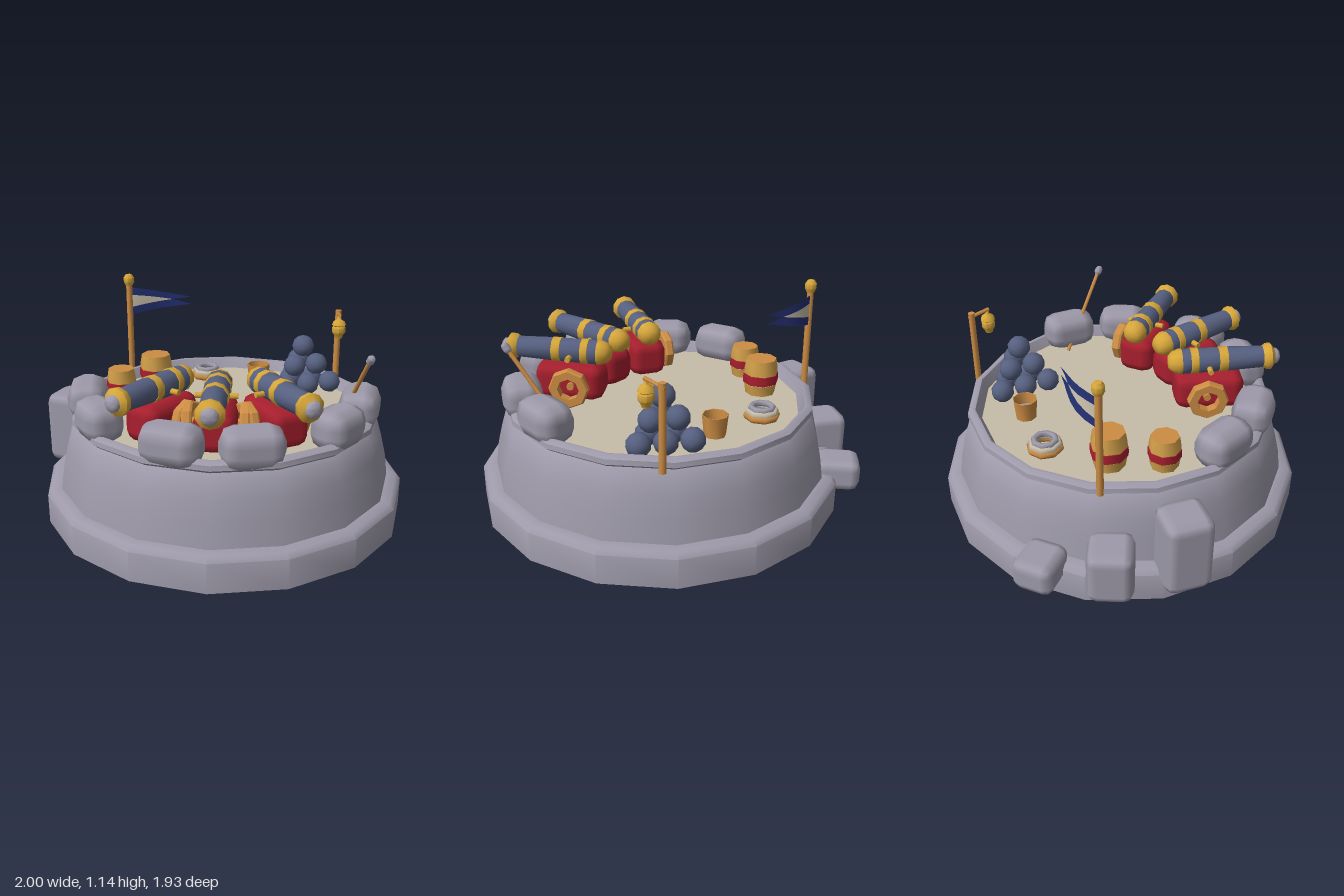
import * as THREE from 'three';
import { toCreasedNormals } from 'three/addons/utils/BufferGeometryUtils.js';
import { RoundedBoxGeometry } from 'three/addons/geometries/RoundedBoxGeometry.js';

const mat = (name, color, side = THREE.FrontSide) => {
  const m = new THREE.MeshStandardMaterial({ color, side });
  m.name = name;
  return m;
};
const stone = mat('stone', 0x9e9aaa, THREE.DoubleSide);
const sand = mat('sand', 0xc6bca8, THREE.DoubleSide);
const iron = mat('iron', 0x566080);
const brass = mat('brass', 0xd6a63a);
const red = mat('red', 0xa81f2e);
const wood = mat('wood', 0xcd8d44);
const stave = mat('stave', 0xd3a04a);
const navy = mat('navy', 0x232f70, THREE.DoubleSide);

const CX = 0.035, FLOOR = 0.522;

function add(parent, name, geo, material, x = 0, y = 0, z = 0) {
  const mesh = new THREE.Mesh(geo, material);
  mesh.name = name;
  mesh.position.set(x, y, z);
  parent.add(mesh);
  return mesh;
}
function lathe(points, sides, crease = 0.85) {
  return toCreasedNormals(new THREE.LatheGeometry(points.map(p => new THREE.Vector2(...p)), sides), crease);
}
// Rod between two points
function rod(parent, name, a, b, r, material, sides = 8) {
  const from = new THREE.Vector3(...a), dir = new THREE.Vector3(...b).sub(from);
  const mesh = add(parent, name, new THREE.CylinderGeometry(r, r, dir.length(), sides), material);
  mesh.position.copy(from).addScaledVector(dir, 0.5);
  mesh.quaternion.setFromUnitVectors(new THREE.Vector3(0, 1, 0), dir.normalize());
  return mesh;
}

function buildTower(root) {
  const profile = [[0.965, 0], [0.965, 0.155], [0.94, 0.18], [0.89, 0.183], [0.873, 0.3],
    [0.848, 0.4], [0.818, 0.5], [0.795, 0.522], [0.818, 0.54], [0.814, 0.565], [0.79, 0.58], [0.775, 0.578], [0.745, FLOOR]];
  add(root, 'towerWall', lathe(profile, 16, 0.8), stone, CX);
  add(root, 'floor', new THREE.CircleGeometry(0.747, 16).rotateX(-Math.PI / 2), sand, CX, FLOOR);

  // Parapet stones, mirrored about the tower axis
  for (const s of [-1, 1]) {
    for (const [x, z, w] of [[0.185, 0.70, 0.31], [0.585, 0.43, 0.28], [0.71, 0.12, 0.3]]) {
      const m = add(root, 'parapetStone', new RoundedBoxGeometry(w, 0.205, 0.205, 1, 0.08), stone, CX + s * x, 0.62, z);
      m.rotation.y = Math.atan2(s * x, z);
    }
  }
  // Stones set into the wall
  for (const [x, y, z, h, w] of [[-0.87, 0.303, -0.27, 0.41, 0.24], [-0.715, 0.215, -0.575, 0.28, 0.225], [-0.475, 0.165, -0.82, 0.17, 0.215]]) {
    const m = add(root, 'wallStone', new RoundedBoxGeometry(w, h, 0.23, 1, 0.05), stone, x, y, z);
    m.rotation.y = Math.atan2(x - CX, z);
  }
}

function buildCannon(root, x, z, yaw) {
  const g = new THREE.Group();
  g.name = 'cannon';
  g.position.set(x, 0, z);
  g.rotation.y = yaw;
  root.add(g);

  // Barrel pieces: [distance across, distance from the rear]
  const barrel = new THREE.Group();
  barrel.name = 'cannonBarrel';
  barrel.position.y = 0.782;
  barrel.rotation.x = -0.025;
  g.add(barrel);
  const pieces = [
    ['breechCap', brass, [[0, 0], [0.035, 0.004], [0.055, 0.025], [0.067, 0.055], [0.067, 0.075]]],
    ['breech', iron, [[0.067, 0.075], [0.066, 0.12]]],
    ['rearBand', brass, [[0.066, 0.12], [0.069, 0.122], [0.069, 0.16], [0.064, 0.162]]],
    ['barrelMiddle', iron, [[0.066, 0.16], [0.064, 0.27]]],
    ['frontBand', brass, [[0.062, 0.268], [0.067, 0.27], [0.067, 0.315], [0.06, 0.317]]],
    ['barrelFront', iron, [[0.064, 0.315], [0.057, 0.505]]],
    ['muzzleRing', brass, [[0.055, 0.5], [0.069, 0.52], [0.071, 0.545], [0.043, 0.565]]],
    ['muzzleFace', stone, [[0.044, 0.56], [0.04, 0.58], [0.025, 0.592], [0, 0.595]]],
  ];
  for (const [name, material, pts] of pieces) add(barrel, name, lathe(pts, 10).rotateX(Math.PI / 2), material);

  add(g, 'carriage', new RoundedBoxGeometry(0.205, 0.2, 0.37, 1, 0.06), red, 0, 0.63, 0.22);
  rod(g, 'trunnion', [-0.105, 0.768, 0.215], [0.105, 0.768, 0.215], 0.015, brass);
  rod(g, 'axle', [-0.125, 0.628, 0.2], [0.125, 0.628, 0.2], 0.02, wood);
  // Wheels: octagonal rims
  const rim = lathe([[0.058, -0.025], [0.1, -0.025], [0.108, -0.015], [0.108, 0.015], [0.1, 0.025], [0.058, 0.025], [0.058, -0.025]], 8, 0.5)
    .rotateZ(Math.PI / 2);
  for (const s of [-1, 1]) add(g, 'wheel', rim, wood, s * 0.14, 0.628, 0.2);
}

function buildBarrel(root, x, z, r, h) {
  const g = new THREE.Group();
  g.name = 'storageBarrel';
  g.position.set(x, FLOOR, z);
  root.add(g);
  add(g, 'lowerStaves', lathe([[0, 0], [0.85 * r, 0], [0.95 * r, 0.3 * h]], 8), stave);
  add(g, 'hoop', lathe([[0.95 * r, 0.31 * h], [r, 0.32 * h], [1.02 * r, 0.45 * h], [r, 0.58 * h], [0.95 * r, 0.59 * h]], 8), red);
  add(g, 'upperStaves', lathe([[0.97 * r, 0.58 * h], [0.95 * r, 0.75 * h], [0.86 * r, h]], 8), stave);
  add(g, 'lid', lathe([[0.86 * r, h], [0, h]], 8), wood);
}

// Pyramid of ten balls on a triangular base
function buildBalls(root) {
  const ball = new THREE.IcosahedronGeometry(0.062, 1);
  const corners = [[0.405, -0.515], [0.61, -0.355], [0.365, -0.255]].map(([x, z]) => new THREE.Vector3(x, 0.582, z));
  const basis = [...corners, new THREE.Vector3(0.455, 0.785, -0.372)];
  for (let a = 0; a <= 2; a++) for (let b = 0; a + b <= 2; b++) for (let c = 0; a + b + c <= 2; c++) {
    const p = new THREE.Vector3();
    [a, b, c, 2 - a - b - c].forEach((w, i) => p.addScaledVector(basis[i], w / 2));
    add(root, 'cannonball', ball, iron, p.x, p.y, p.z);
  }
}

// Cloth strip between an upper and a lower edge, given as rows of [x, upper, lower]
function strip(rows) {
  const wave = (x, y) => {
    const t = (x + 0.55) / 0.35;
    const lean = (y - 0.985) * 0.9 * t * (1 - t);
    return -0.538 - 0.016 * Math.sin(t * 4.2) + 0.027 * t * t + lean;
  };
  const pos = [], idx = [];
  rows.forEach(([x, hi, lo], i) => {
    pos.push(x, hi, wave(x, hi), x, lo, wave(x, lo));
    if (i) idx.push(2 * i - 2, 2 * i - 1, 2 * i, 2 * i, 2 * i - 1, 2 * i + 1);
  });
  const geo = new THREE.BufferGeometry();
  geo.setAttribute('position', new THREE.Float32BufferAttribute(pos, 3));
  geo.setIndex(idx);
  geo.computeVertexNormals();
  return geo;
}

function buildFlag(root) {
  const x0 = -0.55, notch = -0.31, tip = -0.2, midY = 1.003, lerp = THREE.MathUtils.lerp;
  const upper = [], middle = [], lower = [];
  for (let i = 0; i <= 6; i++) {
    const x = i < 5 ? lerp(x0, notch, i / 4) : lerp(notch, tip, (i - 4) / 2);
    const t = (x - x0) / (tip - x0), u = Math.min(1, i / 4), v = Math.max(0, (i - 4) / 2);
    const hi = lerp(1.064, 1.027, t), lo = lerp(0.904, 0.984, t);
    const a = lerp(lerp(1.02, midY, u), 1.027, v), b = lerp(lerp(0.948, midY, u), 0.984, v);
    upper.push([x, hi, a]);
    lower.push([x, b, lo]);
    if (i < 5) middle.push([x, a, b]);
  }
  add(root, 'flagUpperStripe', strip(upper), navy);
  add(root, 'flagMiddleStripe', strip(middle), sand);
  add(root, 'flagLowerStripe', strip(lower), navy);
  rod(root, 'flagPole', [-0.565, 0.53, -0.53], [-0.565, 1.09, -0.53], 0.018, wood);
  add(root, 'flagFinial', lathe([[0, 1.075], [0.022, 1.08], [0.031, 1.1], [0.031, 1.125], [0.018, 1.143], [0, 1.145]], 8),
    brass, -0.565, 0, -0.53);
}

function buildLantern(root) {
  const x = 0.655;
  rod(root, 'lanternPost', [x, 0.52, -0.538], [x, 0.955, -0.538], 0.018, wood);
  rod(root, 'lanternArm', [x, 0.93, -0.555], [x, 0.95, -0.435], 0.011, wood, 6);
  add(root, 'lantern', lathe([[0, 0.81], [0.02, 0.814], [0.026, 0.832], [0.038, 0.85], [0.038, 0.878], [0.032, 0.886], [0.04, 0.892],
    [0.032, 0.912], [0.012, 0.925], [0.008, 0.945], [0, 0.945]], 8), brass, x, 0, -0.445);
}

function buildSmallGear(root) {
  // Rope coil
  for (const [r, y, t, m] of [[0.076, 0.54, 0.02, wood], [0.07, 0.56, 0.019, sand], [0.056, 0.58, 0.016, stone]]) {
    add(root, 'ropeCoil', new THREE.TorusGeometry(r, t, 6, 8).rotateX(Math.PI / 2), m, -0.11, y, -0.555);
  }
  // Open bucket
  add(root, 'bucket', lathe([[0, 0], [0.055, 0], [0.066, 0.11], [0.062, 0.11], [0.057, 0.03]], 8), wood, 0.2, FLOOR, -0.49);
  add(root, 'bucketBottom', new THREE.CircleGeometry(0.059, 8).rotateX(-Math.PI / 2), stone, 0.2, FLOOR + 0.045, -0.49);
  // Ramrod leaning on the parapet
  const shaft = rod(root, 'ramrodShaft', [0.659, 0.525, 0.057], [0.76, 0.93, 0.35], 0.011, wood, 6);
  const head = add(root, 'ramrodHead', new THREE.CapsuleGeometry(0.021, 0.018, 2, 8), stone, 0.761, 0.932, 0.352);
  head.quaternion.copy(shaft.quaternion);
}

export function createModel() {
  const root = new THREE.Group();
  root.name = 'cannonTower';
  buildTower(root);
  buildCannon(root, CX, 0.235, 0);
  buildCannon(root, CX - 0.165, 0.19, -0.535);
  buildCannon(root, CX + 0.165, 0.19, 0.535);
  buildBarrel(root, -0.39, -0.36, 0.095, 0.195);
  buildBarrel(root, -0.55, -0.145, 0.083, 0.173);
  buildBalls(root);
  buildFlag(root);
  buildLantern(root);
  buildSmallGear(root);
  return root;
}
